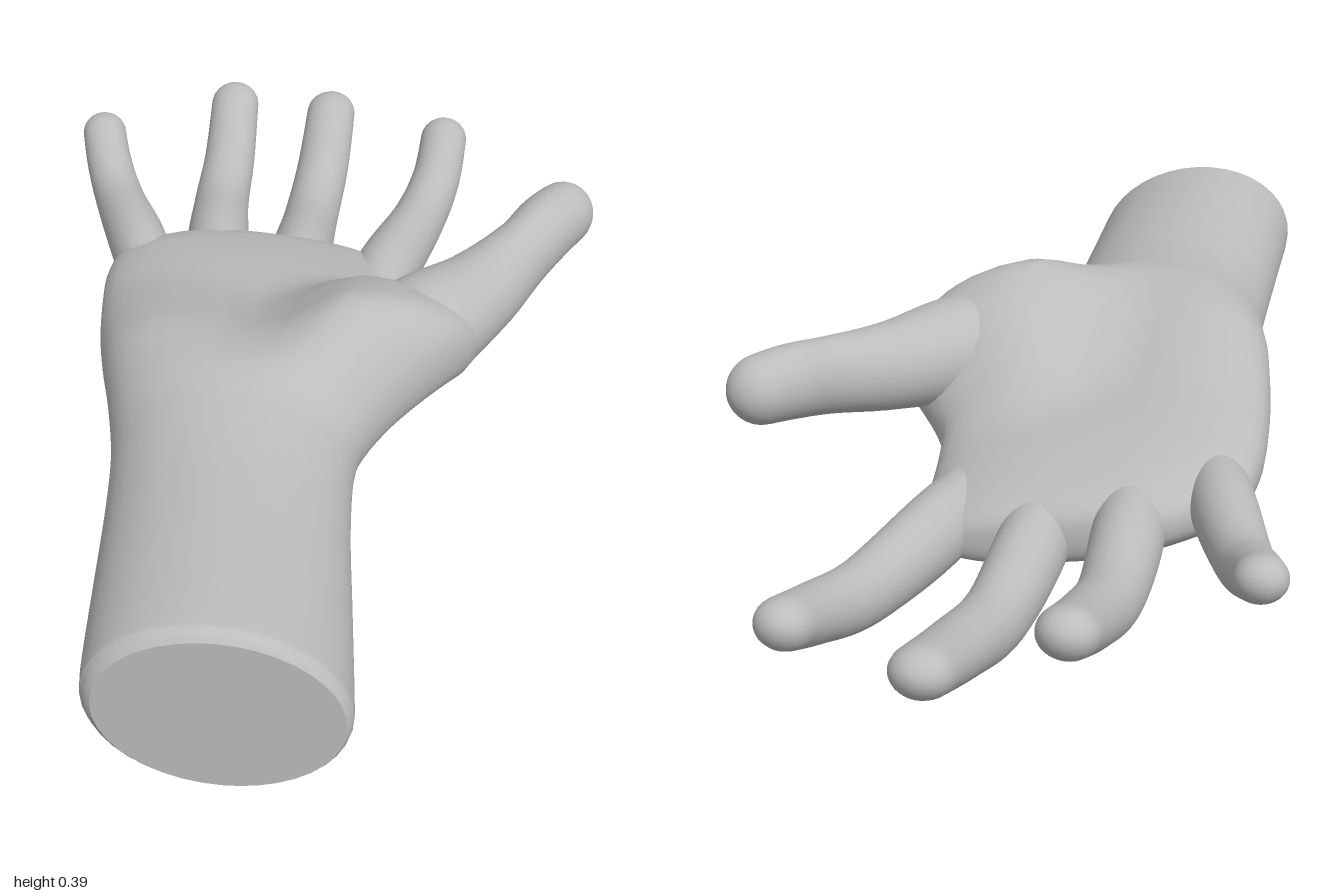
import * as THREE from 'three';

const SIDES = 40;
const { smoothstep } = THREE.MathUtils;

// Smooth interpolation through rows of numbers, u from 0 to 1
function sampleRows(rows, u) {
  const last = rows.length - 1;
  const i = Math.min(Math.floor(u * last), last - 1);
  const t = u * last - i;
  const [a, b, c, d] = [i - 1, i, i + 1, i + 2].map((k) => rows[Math.max(0, Math.min(last, k))]);
  return b.map((p1, k) => {
    const p0 = a[k], p2 = c[k], p3 = d[k];
    return p1 + 0.5 * t * (p2 - p0 + t * (2 * p0 - 5 * p1 + 4 * p2 - p3 + t * (3 * (p1 - p2) + p3 - p0)));
  });
}

// Skin a list of closed rings
function loft(rings) {
  const position = rings.flat().flatMap((p) => [p.x, p.y, p.z]);
  const index = [];
  for (let i = 0; i < rings.length - 1; i++) {
    for (let j = 0; j < SIDES; j++) {
      const a = i * SIDES + j, b = i * SIDES + ((j + 1) % SIDES);
      index.push(a, a + SIDES, b, b, a + SIDES, b + SIDES);
    }
  }
  const geometry = new THREE.BufferGeometry();
  geometry.setAttribute('position', new THREE.Float32BufferAttribute(position, 3));
  geometry.setIndex(index);
  geometry.computeVertexNormals();
  return geometry;
}

// Section of forearm and palm: a slanted oval, squarer at the palm,
// cupped on top and drawn out and up towards the thumb
function palmRing([z, cx, rx, cy, ry]) {
  const rise = (from, to) => smoothstep(z, from, to);
  const power = 0.82 + 0.18 * rise(0.15, 0.4);
  const slant = -0.15 + 0.1 * rise(-0.3, 0.35) - 0.06 * rise(0.4, 0.95);
  const cup = 0.035 * rise(-0.25, 0.05) * (1 - rise(0.1, 0.35));
  const reach = 0.135 * rise(-0.13, 0.06) * (1 - rise(0.1, 0.38));
  const lift = 0.088 * rise(-0.2, 0.06) * (1 - rise(0.15, 0.4));
  const bend = (v) => Math.sign(v) * Math.abs(v) ** power;
  return Array.from({ length: SIDES }, (_, j) => {
    const a = (j / SIDES) * Math.PI * 2;
    const c = bend(Math.cos(a)), s = bend(Math.sin(a));
    const x = cx + rx * c + reach * Math.max(0, c) ** 1.5;
    const hollow = cup * Math.max(0, s) * Math.exp(-(((x + 0.09) / 0.14) ** 2));
    const mound = lift * smoothstep(x, -0.14, 0.06);
    return new THREE.Vector3(x, cy + ry * s + slant * (x - cx) - hollow + mound, z);
  });
}

// Finger along rows of x, y, z, half width, half height, rounded at both ends
function fingerGeometry(rows) {
  const steps = 44;
  const at = (u) => sampleRows(rows, u);
  const point = (u) => new THREE.Vector3(...at(u).slice(0, 3));
  const root = point(0), tip = point(1);
  const rings = [];
  for (let i = 0; i <= steps; i++) {
    const u = (1 - Math.cos((i / steps) * Math.PI)) / 2;
    const [, , , width, height] = at(u);
    const centre = point(u);
    const along = point(Math.min(1, u + 0.01)).sub(point(Math.max(0, u - 0.01))).normalize();
    const side = along.clone().cross(new THREE.Vector3(0, 1, 0)).normalize();
    const up = side.clone().cross(along);
    const left = Math.min(1, centre.distanceTo(tip) / width, centre.distanceTo(root) / width);
    const taper = Math.max(0.01, Math.sqrt(1 - (1 - left) ** 2));
    rings.push(Array.from({ length: SIDES }, (_, j) => {
      const a = (j / SIDES) * Math.PI * 2;
      return centre.clone()
        .addScaledVector(side, width * taper * Math.cos(a))
        .addScaledVector(up, height * taper * Math.sin(a));
    }));
  }
  return loft(rings);
}

// z, centre x, half width, centre y, half height
const PALM = [
  [1.0, -0.152, 0.198, 0.171, 0.15],
  [0.985, -0.154, 0.209, 0.173, 0.162],
  [0.95, -0.156, 0.213, 0.174, 0.164],
  [0.75, -0.158, 0.211, 0.177, 0.154],
  [0.55, -0.16, 0.209, 0.18, 0.148],
  [0.4, -0.158, 0.215, 0.19, 0.149],
  [0.28, -0.15, 0.238, 0.2, 0.153],
  [0.16, -0.14, 0.27, 0.196, 0.149],
  [0.04, -0.133, 0.294, 0.173, 0.133],
  [-0.08, -0.132, 0.305, 0.147, 0.115],
  [-0.2, -0.135, 0.304, 0.13, 0.101],
  [-0.3, -0.13, 0.288, 0.119, 0.087],
  [-0.38, -0.103, 0.232, 0.11, 0.066],
  [-0.415, -0.085, 0.165, 0.104, 0.042],
  [-0.425, -0.08, 0.01, 0.103, 0.004],
];

const FINGERS = {
  thumb: [
    [0.05, 0.24, 0.2, 0.07, 0.07],
    [0.17, 0.247, 0.07, 0.107, 0.1],
    [0.285, 0.25, -0.055, 0.084, 0.085],
    [0.375, 0.27, -0.165, 0.062, 0.074],
    [0.435, 0.285, -0.25, 0.063, 0.07],
    [0.505, 0.287, -0.34, 0.058, 0.06],
  ],
  indexFinger: [
    [0.08, 0.1, -0.18, 0.05, 0.045],
    [0.115, 0.088, -0.37, 0.065, 0.07],
    [0.19, 0.075, -0.6, 0.056, 0.062],
    [0.234, 0.105, -0.74, 0.052, 0.053],
    [0.258, 0.16, -0.89, 0.05, 0.042],
  ],
  middleFinger: [
    [-0.07, 0.11, -0.18, 0.05, 0.05],
    [-0.063, 0.091, -0.4, 0.064, 0.071],
    [-0.043, 0.064, -0.62, 0.058, 0.063],
    [-0.017, 0.1, -0.8, 0.056, 0.053],
    [0.003, 0.165, -1.0, 0.053, 0.042],
  ],
  ringFinger: [
    [-0.21, 0.135, -0.18, 0.05, 0.05],
    [-0.23, 0.127, -0.4, 0.064, 0.07],
    [-0.234, 0.115, -0.6, 0.058, 0.06],
    [-0.222, 0.15, -0.75, 0.054, 0.052],
    [-0.214, 0.225, -0.933, 0.051, 0.042],
  ],
  littleFinger: [
    [-0.34, 0.155, -0.14, 0.045, 0.05],
    [-0.385, 0.165, -0.34, 0.059, 0.065],
    [-0.443, 0.165, -0.53, 0.051, 0.053],
    [-0.476, 0.2, -0.64, 0.047, 0.046],
    [-0.497, 0.25, -0.747, 0.045, 0.038],
  ],
};

export function createModel() {
  const hand = new THREE.Group();
  hand.name = 'hand';
  const grey = new THREE.MeshStandardMaterial({ color: 0xbcbcbc });
  grey.name = 'plain grey';
  const add = (name, geometry) => {
    const mesh = new THREE.Mesh(geometry, grey);
    mesh.name = name;
    hand.add(mesh);
    return mesh;
  };

  // Forearm and palm in one skin
  const steps = 84;
  const rings = Array.from({ length: steps + 1 }, (_, i) => palmRing(sampleRows(PALM, i / steps)));
  add('forearmAndPalm', loft(rings));

  // Flat end of the forearm
  const outline = rings[0].map((p) => new THREE.Vector2(p.x, p.y));
  add('forearmEnd', new THREE.ShapeGeometry(new THREE.Shape(outline))).position.z = 1;

  // Thumb and four fingers
  for (const [name, rows] of Object.entries(FINGERS)) add(name, fingerGeometry(rows));

  return hand;
}
